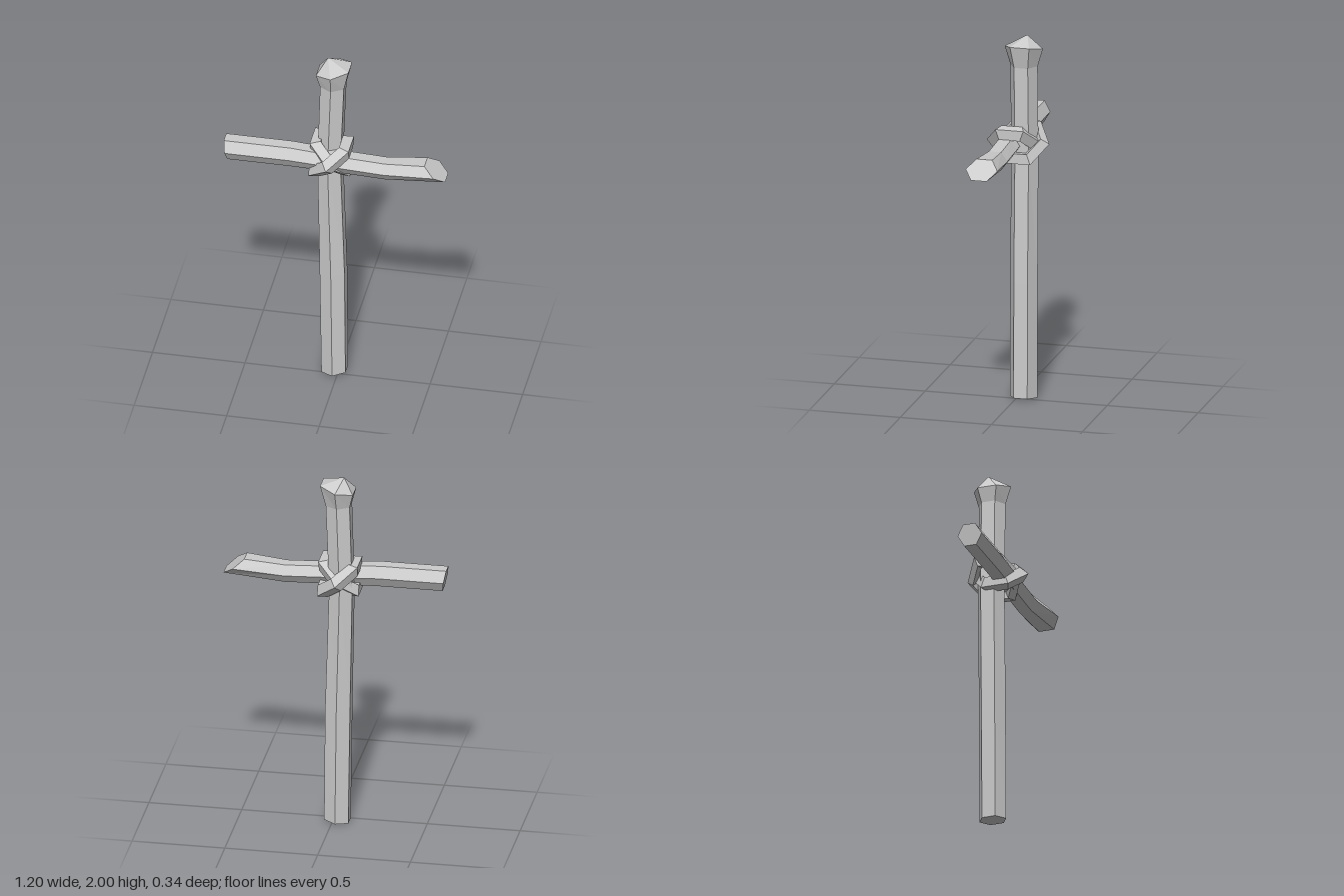
import * as THREE from 'three';

const material = new THREE.MeshStandardMaterial({ color: 0xcccccc, flatShading: true, side: THREE.DoubleSide });
const SIDES = 6;

// Six-sided branch along y. Each section: [x, y, half width, half depth, slant of the cut].
function branchGeometry(sections, endTip) {
  const pos = [], index = [];
  for (const [x, y, hx, hz, slant] of sections) {
    for (let j = 0; j < SIDES; j++) {
      const a = (j + 0.5) * Math.PI * 2 / SIDES;
      const dx = hx * Math.cos(a) / Math.cos(Math.PI / 6);
      pos.push(x + dx, y + slant * dx, hz * Math.sin(a));
    }
  }
  const last = sections.length - 1;
  const start = pos.length / 3, end = start + 1;
  pos.push(sections[0][0], sections[0][1], 0);
  pos.push(...(endTip ?? [sections[last][0], sections[last][1], 0]));
  for (let j = 0; j < SIDES; j++) {
    const k = (j + 1) % SIDES;
    for (let i = 0; i < last; i++) {
      const a = i * SIDES + j, b = i * SIDES + k;
      index.push(a, a + SIDES, b + SIDES, a, b + SIDES, b);
    }
    index.push(start, j, k, end, last * SIDES + k, last * SIDES + j);
  }
  const geo = new THREE.BufferGeometry();
  geo.setAttribute('position', new THREE.Float32BufferAttribute(pos, 3));
  geo.setIndex(index);
  geo.computeVertexNormals();
  return geo;
}

function addMesh(group, name, geometry) {
  const mesh = new THREE.Mesh(geometry, material);
  mesh.name = name;
  group.add(mesh);
  return mesh;
}

export function createModel() {
  const group = new THREE.Group();
  group.name = 'woodenCross';

  // Upright post, slightly bent, with a flared pointed head
  const post = addMesh(group, 'post', branchGeometry([
    [-0.022, 0.007, 0.065, 0.075, 0.1],
    [-0.029, 0.65, 0.067, 0.075, 0],
    [-0.046, 1.36, 0.062, 0.075, 0],
    [-0.03, 1.84, 0.064, 0.075, 0],
    [-0.026, 1.94, 0.088, 0.105, 0.23],
  ], [-0.06, 2.0, -0.01]));
  post.position.z = -0.035;

  // Crossbar laid in front of the post, with a slanted cut on the right-hand end
  const bar = addMesh(group, 'crossbar', branchGeometry([
    [-1.417, -0.59, 0.058, 0.068, 0.17],
    [-1.417, -0.24, 0.058, 0.068, 0],
    [-1.4, 0.08, 0.05, 0.067, 0],
    [-1.392, 0.27, 0.049, 0.068, 0],
    [-1.418, 0.542, 0.043, 0.087, 1.3],
  ]));
  bar.rotation.z = -Math.PI / 2;
  bar.position.z = 0.042;

  // Two crossed lashings; one stands proud in front, the other at the back
  for (const [name, side] of [['frontLashing', 1], ['backLashing', -1]]) {
    const geo = new THREE.TorusGeometry(0.113, 0.04, 4, 6);
    geo.rotateY(Math.PI / 2);
    geo.scale(1.05, 1.07, 1);
    geo.rotateZ(-side * THREE.MathUtils.degToRad(50));
    addMesh(group, name, geo).position.set(-0.031, 1.413, side * 0.019 - 0.002);
  }
  return group;
}
